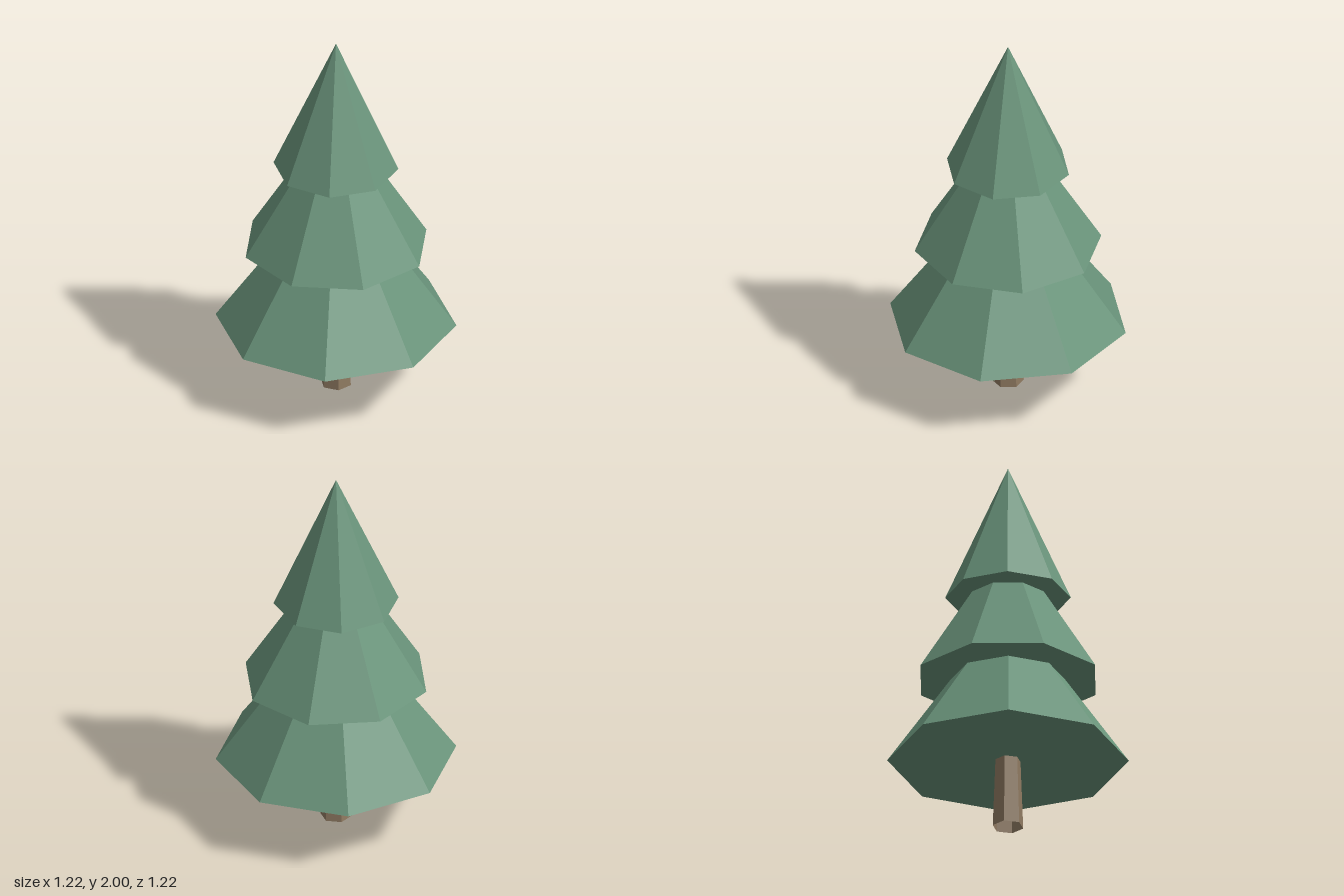
import * as THREE from 'three';

export function createModel() {
  const group = new THREE.Group();
  group.name = 'pineTree';

  const needleGreen = new THREE.MeshStandardMaterial({ color: 0x6a947b, flatShading: true });
  needleGreen.name = 'needleGreen';
  const barkBrown = new THREE.MeshStandardMaterial({ color: 0x8f7a61, flatShading: true, side: THREE.DoubleSide });
  barkBrown.name = 'barkBrown';

  // Tapered six-sided trunk, open at the ends, running up into the lowest tier
  const trunkHeight = 0.44;
  const trunk = new THREE.Mesh(
    new THREE.CylinderGeometry(0.063, 0.08, trunkHeight, 6, 1, true), barkBrown);
  trunk.name = 'trunk';
  trunk.position.y = trunkHeight / 2;
  trunk.rotation.y = Math.PI / 2;
  group.add(trunk);

  // Three overlapping eight-sided cones, each twisted a little further
  const tiers = [
    { name: 'lowerBranches', radius: 0.612, base: 0.37, tip: 1.23 },
    { name: 'middleBranches', radius: 0.478, base: 0.82, tip: 1.6 },
    { name: 'upperBranches', radius: 0.318, base: 1.28, tip: 2 },
  ];
  tiers.forEach(({ name, radius, base, tip }, i) => {
    const tier = new THREE.Mesh(new THREE.ConeGeometry(radius, tip - base, 8), needleGreen);
    tier.name = name;
    tier.position.y = (base + tip) / 2;
    tier.rotation.y = -0.4 * i;
    group.add(tier);
  });

  return group;
}
